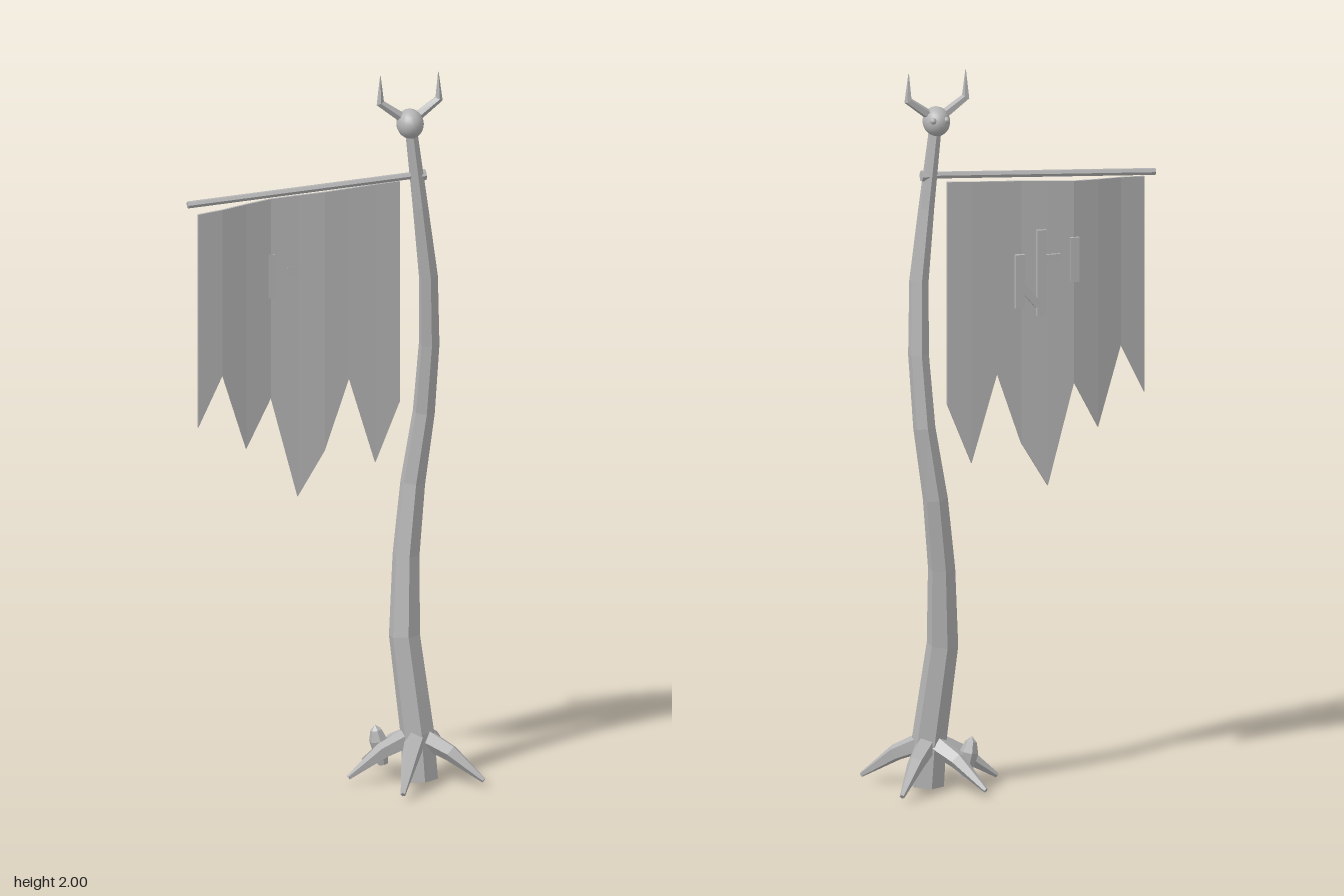
import * as THREE from 'three';

const V = (p) => new THREE.Vector3(...p);

// Tapered limb: a polygon swept along points [x, y, z, radius], capped at both ends
function limb(points, sides, ref = [1, 0, 0], turn = 0) {
  const pos = points.map((p) => V(p.slice(0, 3)));
  const verts = [], index = [];
  pos.forEach((p, i) => {
    const t = pos[Math.min(i + 1, pos.length - 1)].clone().sub(pos[Math.max(i - 1, 0)]).normalize();
    const u = V(ref).addScaledVector(t, -V(ref).dot(t)).normalize();
    const v = t.clone().cross(u);
    for (let j = 0; j < sides; j++) {
      const a = turn + (j / sides) * Math.PI * 2;
      const q = p.clone().addScaledVector(u, Math.cos(a) * points[i][3]).addScaledVector(v, Math.sin(a) * points[i][3]);
      verts.push(q.x, q.y, q.z);
    }
  });
  const last = pos.length - 1;
  for (let j = 0; j < sides; j++) {
    const k = (j + 1) % sides;
    for (let i = 0; i < last; i++) {
      const a = i * sides + j, b = i * sides + k;
      index.push(a, b, b + sides, a, b + sides, a + sides);
    }
    if (j > 0 && j < sides - 1) {
      index.push(0, k, j, last * sides, last * sides + j, last * sides + k);
    }
  }
  return facet(verts, index);
}

function facet(verts, index) {
  const g = new THREE.BufferGeometry();
  g.setAttribute('position', new THREE.Float32BufferAttribute(verts, 3));
  g.setIndex(index);
  const flat = g.toNonIndexed();
  flat.computeVertexNormals();
  return flat;
}

// Ragged cloth: columns [x, bottom y, z] given a small thickness
function clothGeometry(columns, thickness) {
  const verts = [], index = [];
  columns.forEach(([x, bottom, z]) => {
    const top = 1.655 + ((x + 0.385) / 0.585) * 0.038;
    const f = z + thickness / 2, b = z - thickness / 2;
    verts.push(x, bottom, f, x, top, f, x, top, b, x, bottom, b);
  });
  const quad = (a, b, c, d) => index.push(a, b, c, a, c, d);
  const n = columns.length - 1;
  for (let i = 0; i < n; i++) {
    for (let s = 0; s < 4; s++) {
      const a = i * 4 + s, b = i * 4 + ((s + 1) % 4);
      quad(a, a + 4, b + 4, b);
    }
  }
  quad(0, 1, 2, 3);
  quad(n * 4 + 3, n * 4 + 2, n * 4 + 1, n * 4);
  return facet(verts, index);
}

export function createModel() {
  const group = new THREE.Group();
  const grey = new THREE.MeshStandardMaterial({ color: 0xb4b4b4 });
  grey.name = 'grey';
  const add = (name, geometry, position = [0, 0, 0]) => {
    const mesh = new THREE.Mesh(geometry, grey);
    mesh.name = name;
    mesh.position.set(...position);
    group.add(mesh);
    return mesh;
  };

  // Crooked pole
  add('pole', limb([
    [0.25, 0, -0.008, 0.05], [0.243, 0.13, -0.015, 0.048], [0.215, 0.4, -0.045, 0.044],
    [0.226, 0.62, -0.07, 0.038], [0.25, 0.82, -0.088, 0.035], [0.28, 1.02, -0.083, 0.031],
    [0.289, 1.22, -0.06, 0.029], [0.28, 1.42, -0.036, 0.027], [0.254, 1.62, -0.022, 0.022],
    [0.225, 1.85, -0.016, 0.017],
  ], 6, [1, 0, 0], Math.PI / 6));

  // Splayed roots
  const tips = [[0.05, -0.02], [0.137, -0.185], [0.378, -0.185], [0.4, 0.102], [0.15, 0.182]];
  tips.forEach(([x, z]) => {
    const dx = x - 0.243, dz = z + 0.015;
    add('root', limb([
      [0.243 + dx * 0.1, 0.118, -0.015 + dz * 0.1, 0.03],
      [0.243 + dx * 0.5, 0.083, -0.015 + dz * 0.5, 0.024],
      [x, 0.014, z, 0.007],
    ], 5, [-dz, 0, dx]));
  });

  // Gourd at the foot
  const profile = [[0, 0], [0.015, 0], [0.022, 0.04], [0.026, 0.07], [0.016, 0.1], [0, 0.115]];
  const gourd = add('gourd', new THREE.LatheGeometry(profile.map((p) => new THREE.Vector2(...p)), 6).toNonIndexed(), [0.163, 0.03, -0.077]);
  gourd.geometry.computeVertexNormals();
  gourd.rotation.z = 0.2;

  // Head with eyes and horns
  const head = new THREE.SphereGeometry(1, 20, 14);
  add('head', head, [0.223, 1.86, -0.016]).scale.set(0.037, 0.041, 0.046);
  for (const side of [-1, 1]) {
    add('eye', new THREE.SphereGeometry(0.009, 8, 6), [0.225 + side * 0.019, 1.87, -0.053]);
    add('horn', limb([
      [0.222 + side * 0.02, 1.878, -0.018, 0.014],
      [0.222 + side * 0.083, 1.924, -0.02, 0.012],
      [0.222 + side * 0.082, 2, -0.02, 0.001],
    ], 5, [0, 0, 1]));
  }

  // Crossbar and its knot
  add('crossbar', limb([[-0.405, 1.674, -0.021, 0.01], [0.266, 1.713, -0.021, 0.01]], 6, [0, 0, 1]));
  add('crossbarKnot', limb([[0.238, 1.709, -0.021, 0.016], [0.268, 1.711, -0.021, 0.016]], 6, [0, 0, 1]));

  // Torn banner
  add('banner', clothGeometry([
    [-0.385, 1.05, 0.014], [-0.313, 1.19, 0.002], [-0.24, 0.97, -0.02],
    [-0.165, 1.105, -0.038], [-0.09, 0.82, -0.036], [-0.015, 0.945, -0.032],
    [0.055, 1.145, -0.035], [0.13, 0.9, -0.038], [0.2, 1.07, -0.038],
  ], 0.008));

  // Raised strips on the back of the banner: [x, y, width, height, tilt]
  const strips = [
    [-0.165, 1.45, 0.025, 0.125, 0], [-0.07, 1.42, 0.026, 0.24, 0],
    [-0.008, 1.4, 0.026, 0.15, 0], [-0.035, 1.36, 0.02, 0.08, 0.7], [-0.098, 1.46, 0.05, 0.02, 0],
  ];
  strips.forEach(([x, y, w, h, tilt]) => {
    add('bannerStrip', new THREE.BoxGeometry(w, h, 0.018), [x, y, -0.041]).rotation.z = -tilt;
  });

  return group;
}
